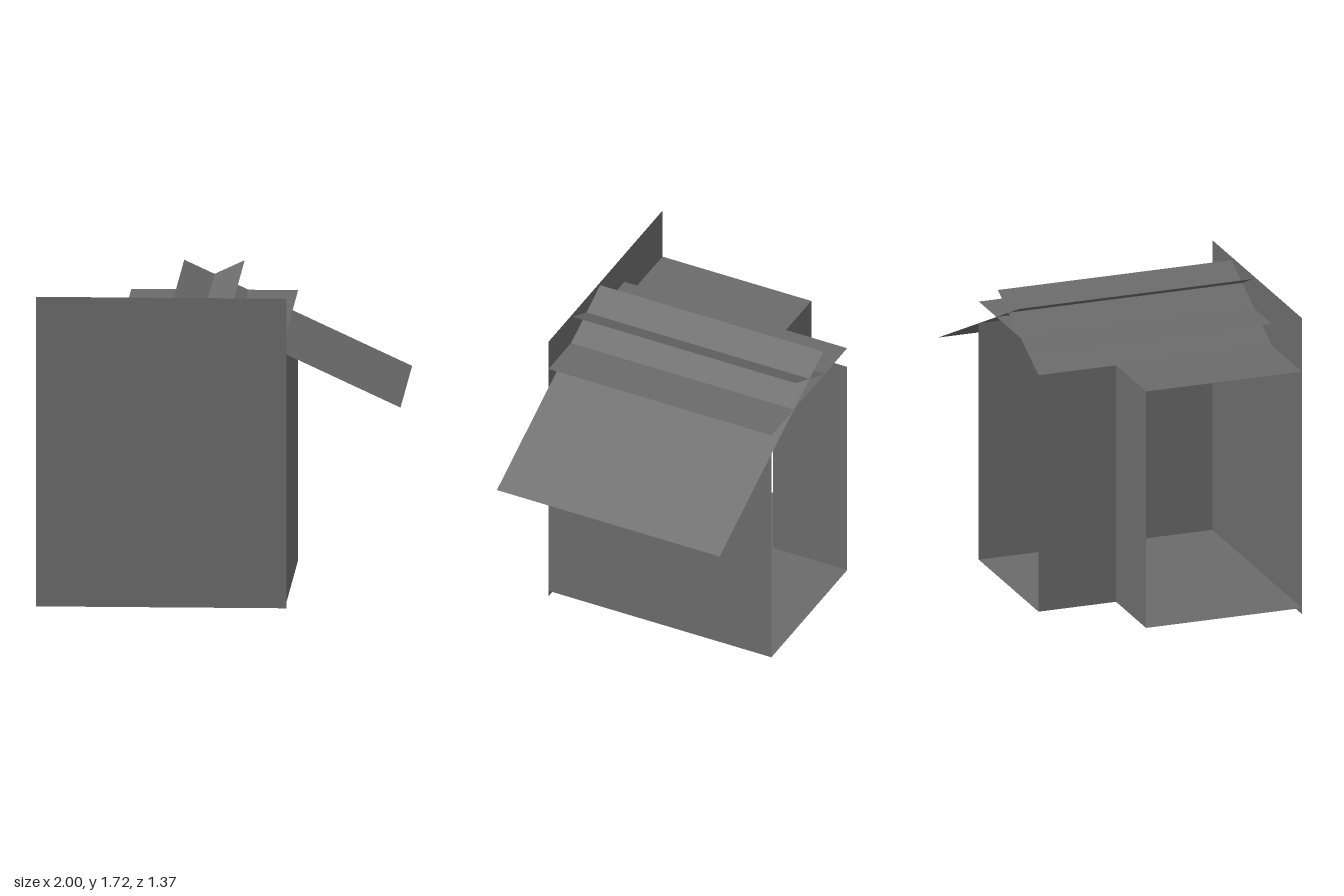
import * as THREE from 'three';

// Main levels and plan lines of the shed
const FLOOR = 0.036, EAVE = 1.41, CEILING = 1.536, RIDGE = 1.7;
const FRONT = 0.685, BACK = -0.685, NOTCH_Z = -0.23;
const OUTER_X = -1, NOTCH_X = -0.54, WALL_X = 0.375;

export function createModel() {
  const group = new THREE.Group();
  const grey = new THREE.MeshStandardMaterial({ color: 0x6b6b6b, side: THREE.DoubleSide });
  grey.name = 'plain grey';

  const add = (name, geometry) => {
    const mesh = new THREE.Mesh(geometry, grey);
    mesh.name = name;
    group.add(mesh);
    return mesh;
  };

  // Thin four-sided sheet through corners a, b, c, d
  const sheet = (name, a, b, c, d) => {
    const geometry = new THREE.BufferGeometry();
    geometry.setAttribute('position', new THREE.Float32BufferAttribute([...a, ...b, ...c, ...d], 3));
    geometry.setIndex([0, 1, 2, 0, 2, 3]);
    geometry.computeVertexNormals();
    return add(name, geometry);
  };

  // Sheet spanning two x,y points, swept from zBack to the front
  const span = (name, x0, y0, x1, y1, zBack = BACK) =>
    sheet(name, [x0, y0, FRONT], [x1, y1, FRONT], [x1, y1, zBack], [x0, y0, zBack]);

  // L-shaped floor
  const plan = new THREE.Shape([
    [OUTER_X, FRONT], [WALL_X, FRONT], [WALL_X, BACK],
    [NOTCH_X, BACK], [NOTCH_X, NOTCH_Z], [OUTER_X, NOTCH_Z],
  ].map(([x, z]) => new THREE.Vector2(x, -z)));
  add('floor', new THREE.ShapeGeometry(plan).rotateX(-Math.PI / 2).translate(0, FLOOR, 0));

  // Walls
  sheet('frontWall', [OUTER_X, 0, FRONT], [WALL_X, 0, FRONT], [WALL_X, 1.72, FRONT], [OUTER_X, 1.72, FRONT]);
  sheet('leftWall', [WALL_X, FLOOR, FRONT], [WALL_X, FLOOR, BACK], [WALL_X, EAVE, BACK], [WALL_X, EAVE, FRONT]);
  sheet('notchSideWall', [NOTCH_X, FLOOR, BACK], [NOTCH_X, FLOOR, NOTCH_Z], [NOTCH_X, EAVE, NOTCH_Z], [NOTCH_X, EAVE, BACK]);
  sheet('notchBackWall', [NOTCH_X, FLOOR, NOTCH_Z], [OUTER_X, FLOOR, NOTCH_Z], [OUTER_X, EAVE, NOTCH_Z], [NOTCH_X, EAVE, NOTCH_Z]);

  // Crossing roof slopes, the flat sheet through them and the low side roof
  span('leftRoofSlope', -0.25, RIDGE, 1, 1.12);
  span('rightRoofSlope', NOTCH_X, EAVE, 0.082, RIDGE);
  span('ceiling', NOTCH_X, CEILING, WALL_X, CEILING);
  span('sideRoof', OUTER_X, EAVE, NOTCH_X, EAVE, NOTCH_Z);

  return group;
}
